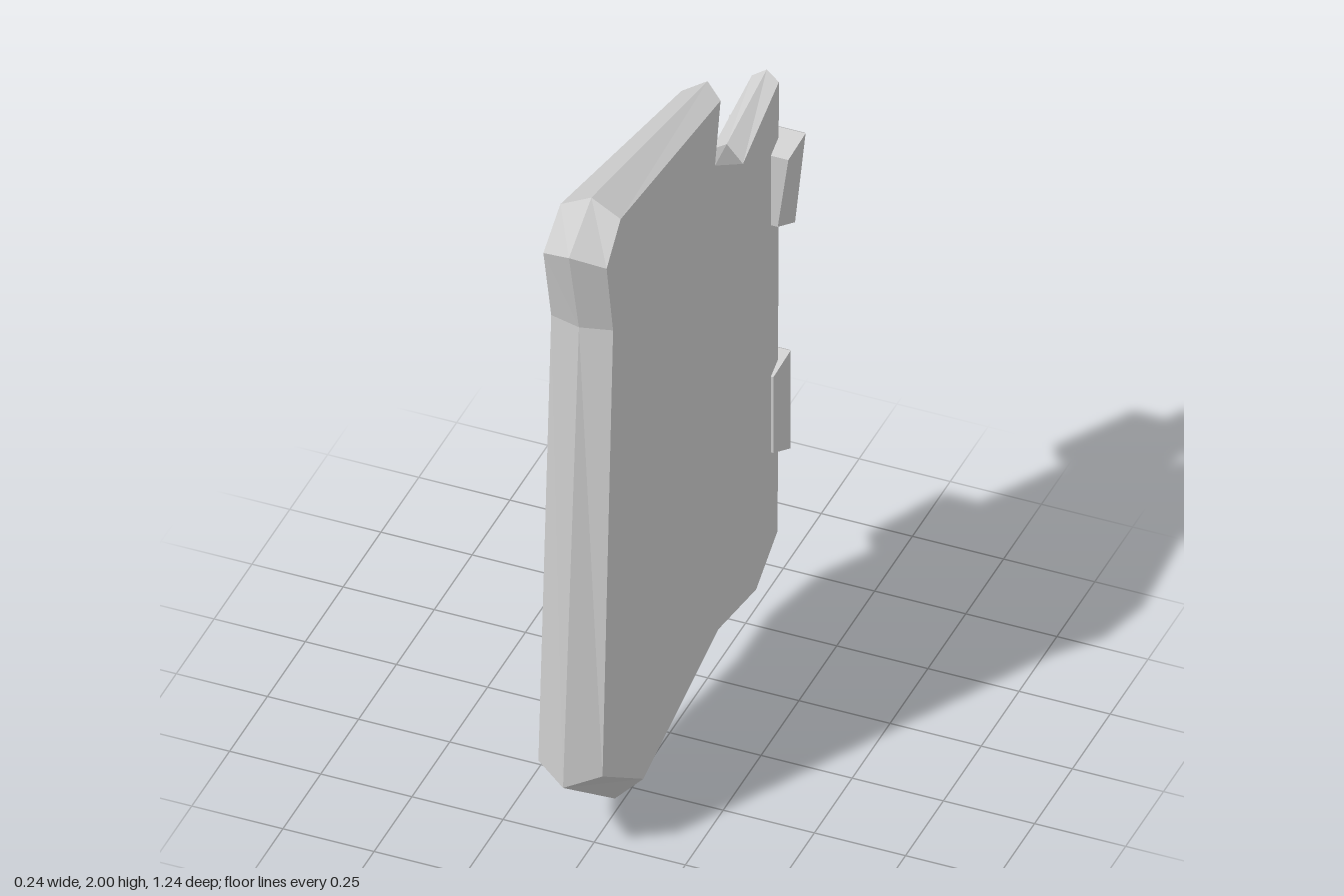
import * as THREE from 'three';

const V3 = (x, y, z) => new THREE.Vector3(x, y, z);

// Skin a stack of equal-length loops and close both ends; faces stay flat.
function loft(loops, flatten) {
  const pos = [];
  const tri = (a, b, c) => [a, b, c].forEach(p => pos.push(p.x, p.y, p.z));
  for (let k = 0; k < loops.length - 1; k++) {
    const a = loops[k], b = loops[k + 1];
    for (let i = 0; i < a.length; i++) {
      const j = (i + 1) % a.length;
      tri(a[i], a[j], b[j]);
      tri(a[i], b[j], b[i]);
    }
  }
  const cap = (loop, flip) => {
    for (const [a, b, c] of THREE.ShapeUtils.triangulateShape(loop.map(flatten), [])) {
      if (flip) tri(loop[a], loop[c], loop[b]); else tri(loop[a], loop[b], loop[c]);
    }
  };
  cap(loops[0], true);
  cap(loops[loops.length - 1], false);
  const g = new THREE.BufferGeometry();
  g.setAttribute('position', new THREE.Float32BufferAttribute(pos, 3));
  g.computeVertexNormals();
  return g;
}

// Move a counter-clockwise outline inwards by d with mitred corners.
function inset(pts, d) {
  const n = pts.length;
  return pts.map(([x, y], i) => {
    const [px, py] = pts[(i + n - 1) % n], [qx, qy] = pts[(i + 1) % n];
    const l1 = Math.hypot(x - px, y - py), l2 = Math.hypot(qx - x, qy - y);
    const ax = -(y - py) / l1, ay = (x - px) / l1;
    const bx = -(qy - y) / l2, by = (qx - x) / l2;
    const s = d / (1 + ax * bx + ay * by);
    return [x + (ax + bx) * s, y + (ay + by) * s];
  });
}

// The plate tapers in thickness from front to back.
const FLAT = 0.056;
const DEPTH = 0.04;
const rimX = z => -0.069 - 0.0877 * z;
const ridgeX = z => -0.009 - 0.043 * z;

// Outlines as [z, y]: the outer ridge and the smaller flat face.
const ridge = [[0.45, 2], [-0.245, 1.895], [-0.205, 1.695], [-0.36, 1.617], [-0.6, 1.69], [-0.59, 0.245],
  [-0.465, 0.125], [-0.185, 0.17], [0.31, 0], [0.62, 0.245], [0.525, 1.64], [0.585, 1.9]];
const face = [[0.46, 1.963], [-0.2, 1.88], [-0.163, 1.7], [-0.348, 1.577], [-0.585, 1.672], [-0.577, 0.255],
  [-0.435, 0.168], [-0.185, 0.215], [0.31, 0.085], [0.58, 0.28], [0.51, 1.645], [0.553, 1.87]];

function plateGeometry() {
  const loop = (pts, fx) => pts.map(([z, y]) => V3(fx(z), y, z));
  return loft([
    loop(face, () => FLAT),
    loop(ridge, ridgeX),
    loop(face, rimX),
    loop(inset(face, 0.04), rimX),
    loop(inset(face, 0.065), z => rimX(z) + DEPTH),
  ], p => new THREE.Vector2(p.z, p.y));
}

// Raised inner panel with slanted slots, sheared to follow the taper.
function grilleGeometry() {
  const v = pts => pts.map(([z, y]) => new THREE.Vector2(z, y));
  const bevel = 0.038;
  const base = [[0.515, 1.6], [-0.41, 1.46], [-0.41, 1.18], [-0.28, 0.96],
    [-0.46, 0.5], [-0.3, 0.29], [0.3, 0.3], [0.575, 0.4]];
  const shape = new THREE.Shape(v(inset(base, bevel)));
  // Slots: left z, left bottom/top y, right bottom/top y.
  const slots = [[-0.27, 1.22, 1.345, 1.355, 1.485], [-0.22, 1.045, 1.165, 1.165, 1.285],
    [-0.23, 0.815, 0.935, 0.895, 1.035], [-0.33, 0.575, 0.69, 0.665, 0.805], [-0.31, 0.365, 0.48, 0.445, 0.575]];
  for (const [z, b0, t0, b1, t1] of slots) {
    shape.holes.push(new THREE.Path(v([[z, b0], [z, t0], [0.425, t1], [0.425, b1]])));
  }
  const g = new THREE.ExtrudeGeometry(shape, {
    depth: 0.002, bevelEnabled: true, bevelThickness: DEPTH, bevelSize: bevel, bevelSegments: 1,
  });
  // The outer face sits just under the rim; the hidden side is flattened into the floor.
  g.translate(0, 0, -DEPTH - 0.002);
  g.rotateY(-Math.PI / 2);
  const p = g.attributes.position;
  for (let i = 0; i < p.count; i++) {
    p.setX(i, Math.min(p.getX(i), DEPTH + 0.002) + rimX(p.getZ(i)) + 0.002);
  }
  g.computeVertexNormals();
  return g;
}

// Hinge pad: a tapered block with a chamfered back, one side slanting.
function hingeGeometry(y0, y1, left, right) {
  const section = (z, dx, dy) => [
    V3(left[0] - dx, y0 + dy, z), V3(right[0] + dx, y0 + dy, z),
    V3(right[1] + dx, y1 - dy, z), V3(left[1] - dx, y1 - dy, z),
  ];
  return loft([section(-0.532, 0.015, 0.035), section(-0.61, 0, 0), section(-0.622, 0.008, 0.008)],
    p => new THREE.Vector2(-p.x, p.y));
}

export function createModel() {
  const group = new THREE.Group();
  const metal = new THREE.MeshStandardMaterial({ color: 0xcccccc });
  metal.name = 'plain grey';
  const add = (name, geometry) => {
    const mesh = new THREE.Mesh(geometry, metal);
    mesh.name = name;
    group.add(mesh);
  };
  add('plate', plateGeometry());
  add('slottedPanel', grilleGeometry());
  // Side positions are given as [bottom x, top x].
  add('upperHinge', hingeGeometry(1.22, 1.51, [0.09, 0.119], [-0.09, -0.09]));
  add('lowerHinge', hingeGeometry(0.5, 0.81, [0.078, 0.078], [-0.075, -0.1]));
  return group;
}
